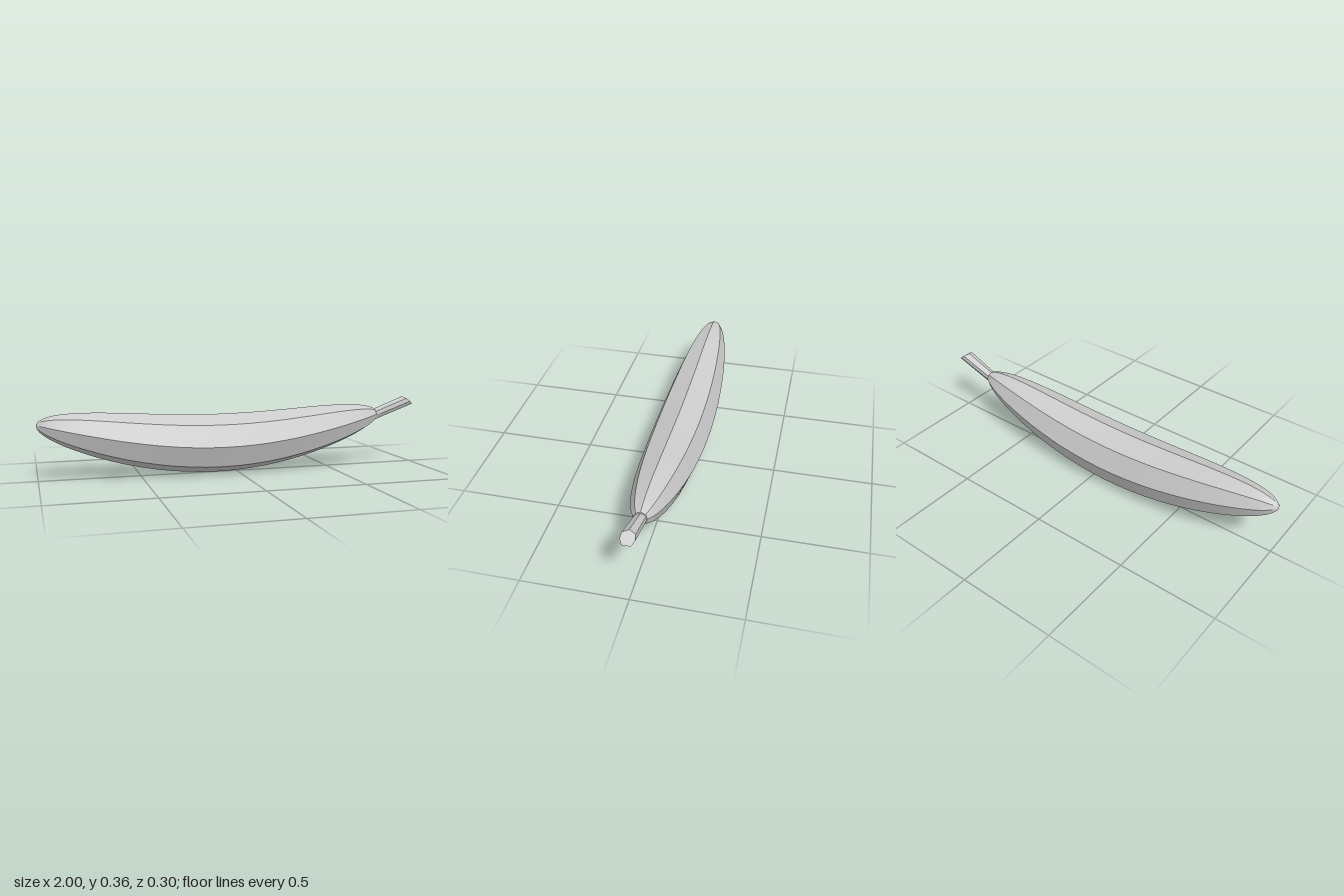
import * as THREE from 'three';

const material = new THREE.MeshStandardMaterial({ color: 0xcccccc });

// Skins rings (top towards +z, from -x to +x) with crisp long ridges,
// smooth along the length, and closes both ends.
function loft(rings, name) {
  const n = rings[0].length, pos = [], idx = [];
  const add = (p) => pos.push(p.x, p.y, p.z) / 3 - 1;
  for (let k = 0; k < n; k++) {
    const start = pos.length / 3;
    for (const r of rings) { add(r[k]); add(r[(k + 1) % n]); }
    for (let i = 0; i < rings.length - 1; i++) {
      const a = start + i * 2;
      idx.push(a, a + 1, a + 2, a + 1, a + 3, a + 2);
    }
  }
  for (const [ring, flip] of [[rings[0], true], [rings[rings.length - 1], false]]) {
    const centre = ring.reduce((s, p) => s.add(p), new THREE.Vector3()).divideScalar(n);
    const c = add(centre);
    const first = pos.length / 3;
    ring.forEach(add);
    for (let k = 0; k < n; k++) {
      const a = first + k, b = first + (k + 1) % n;
      if (flip) idx.push(c, b, a); else idx.push(c, a, b);
    }
  }
  const geo = new THREE.BufferGeometry();
  geo.setAttribute('position', new THREE.Float32BufferAttribute(pos, 3));
  geo.setIndex(idx);
  geo.computeVertexNormals();
  const mesh = new THREE.Mesh(geo, material);
  mesh.name = name;
  return mesh;
}

// Fruit: octagonal sections of elliptical taper, square to a bowed spine
function fruitRings() {
  const rings = [], steps = 32, endAngle = Math.acos(0.978);
  for (let i = 0; i <= steps; i++) {
    const t = Math.PI - 0.04 + (endAngle - Math.PI + 0.04) * i / steps;
    const s = Math.cos(t), radius = 0.15 * Math.sin(t);
    const x = -0.1 + 0.9 * s;
    const y = 0.152 + 0.126 * (1.3 * s * s - 0.3 * s ** 4);
    const tilt = Math.atan(0.126 * (2.6 * s - 1.2 * s ** 3) / 0.9);
    rings.push(Array.from({ length: 8 }, (_, k) => {
      const a = k * Math.PI / 4, u = radius * Math.cos(a);
      return new THREE.Vector3(x - u * Math.sin(tilt), y + u * Math.cos(tilt), radius * Math.sin(a));
    }));
  }
  return rings;
}

// Stem: seven-sided, with an obliquely cut outer end
function stemRings() {
  const half = [[0, 1], [0.03, 0.55], [0.033, -0.25], [0.02, -1]];
  const section = [...half, ...half.slice(1).reverse().map(([z, u]) => [-z, u])];
  const ring = (x, y, dx, dy, w) =>
    section.map(([z, u]) => new THREE.Vector3(x + dx * u, y + dy * u, z * w));
  return [ring(0.765, 0.267, -0.008, 0.025, 0.8), ring(0.972, 0.343, -0.027, 0.02, 1)];
}

export function createModel() {
  const group = new THREE.Group();
  group.name = 'banana';
  group.add(loft(fruitRings(), 'fruit'), loft(stemRings(), 'stem'));
  return group;
}
